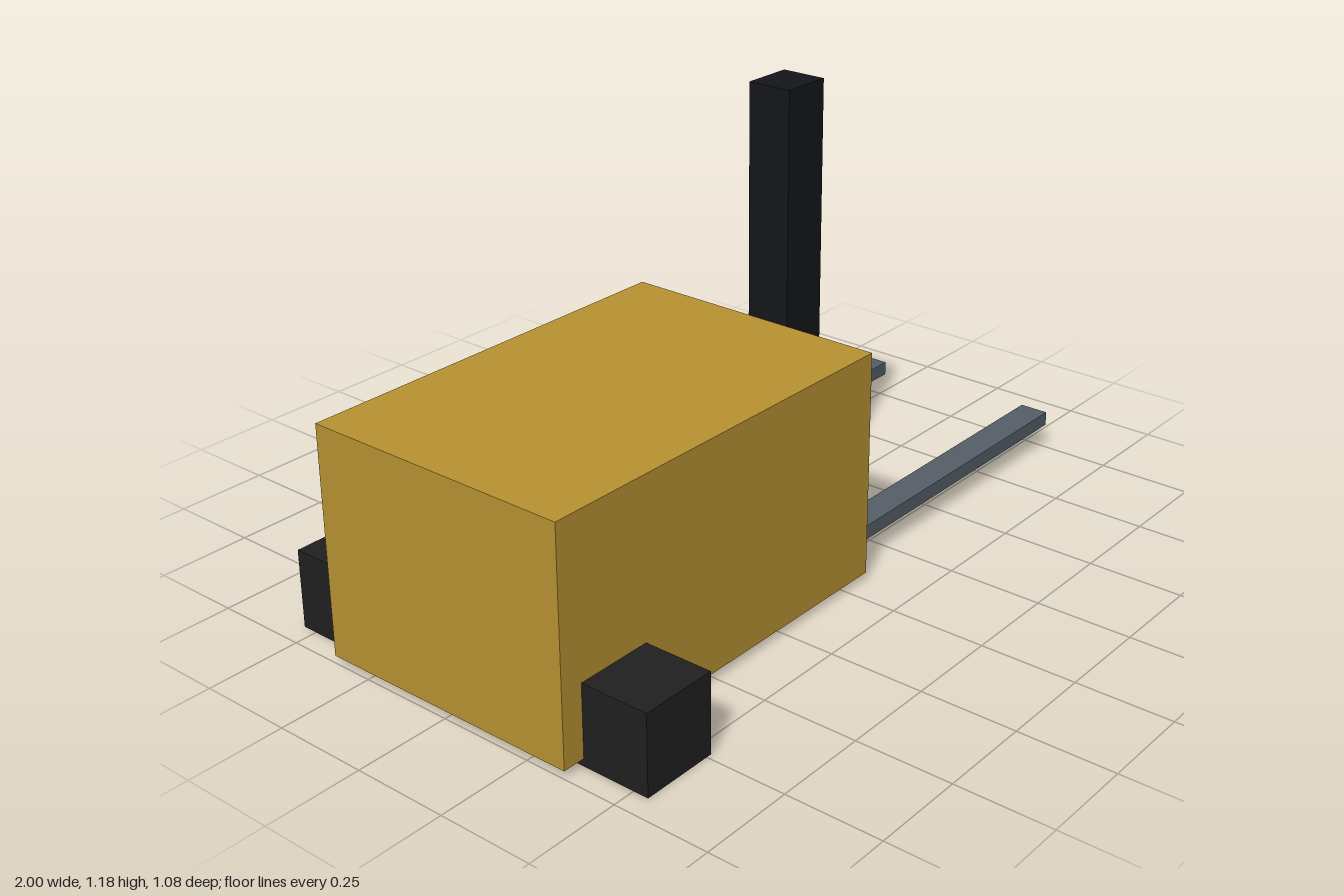
import * as THREE from 'three';

const paint = (color) => new THREE.MeshStandardMaterial({ color });

// Box given by its [min, max] extent on each axis
function block(name, [x0, x1], [y0, y1], [z0, z1], material) {
  const mesh = new THREE.Mesh(new THREE.BoxGeometry(x1 - x0, y1 - y0, z1 - z0), material);
  mesh.name = name;
  mesh.position.set((x0 + x1) / 2, (y0 + y1) / 2, (z0 + z1) / 2);
  return mesh;
}

export function createModel() {
  const model = new THREE.Group();
  model.name = 'forkTruck';
  const yellow = paint(0xb89232);
  const black = paint(0x14161a);
  const rubber = paint(0x202020);
  const steel = paint(0x555f67);

  // Body and mast
  model.add(block('body', [-1, 0.08], [0.02, 0.61], [-0.36, 0.36], yellow));
  model.add(block('mast', [0.14, 0.275], [0.02, 1.18], [-0.06, 0.06], black));

  // Mirrored pairs: block wheels at the rear, forks at the lifting end
  for (const side of [1, -1]) {
    const span = (a, b) => (side > 0 ? [a, b] : [-b, -a]);
    const label = side > 0 ? 'Front' : 'Back';
    model.add(block('wheel' + label, [-0.94, -0.735], [0, 0.207], span(0.333, 0.54), rubber));
    model.add(block('fork' + label, [0.08, 1], [0.067, 0.105], span(0.233, 0.312), steel));
  }
  return model;
}
